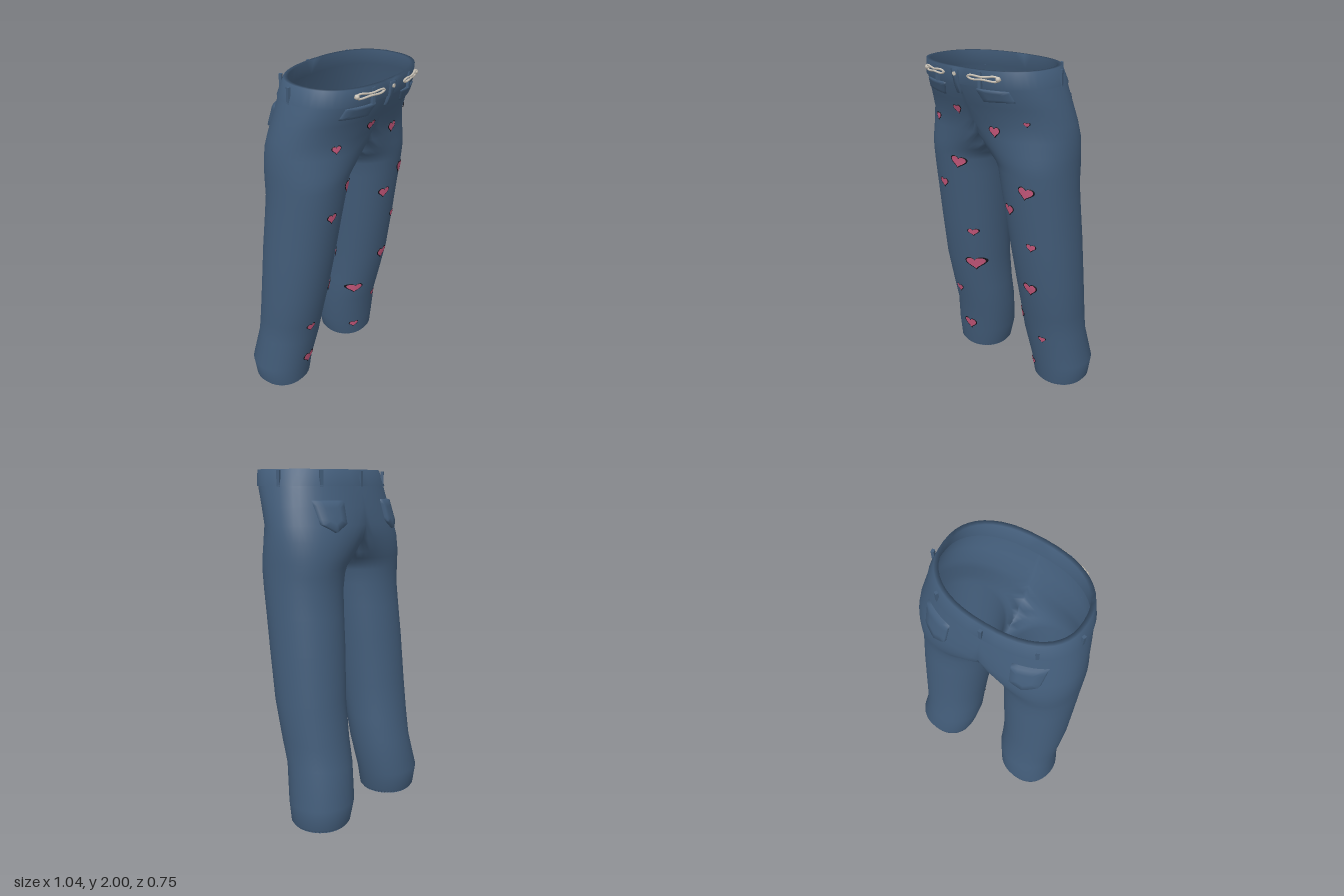
import * as THREE from 'three';
import { mergeVertices } from 'three/addons/utils/BufferGeometryUtils.js';

const mat = (name, color) => new THREE.MeshStandardMaterial({ name, color, side: THREE.DoubleSide });

// One half of the trousers, top to hem: y, inner x, outer x, front z, back z.
// Above the crotch the inner side is cut off at x = 0.
const ROWS = [
  [2.0, -0.4, 0.4, 0.36, -0.18],
  [1.9, -0.43, 0.43, 0.34, -0.21],
  [1.8, -0.42, 0.455, 0.3, -0.235],
  [1.7, -0.3, 0.475, 0.257, -0.255],
  [1.62, -0.17, 0.485, 0.243, -0.26],
  [1.54, -0.06, 0.488, 0.235, -0.253],
  [1.5, -0.015, 0.488, 0.23, -0.247],
  [1.47, 0.02, 0.488, 0.226, -0.242],
  [1.43, 0.037, 0.488, 0.22, -0.238],
  [1.34, 0.047, 0.488, 0.208, -0.232],
  [1.2, 0.06, 0.49, 0.187, -0.245],
  [1.0, 0.075, 0.495, 0.158, -0.265],
  [0.72, 0.1, 0.5, 0.113, -0.285],
  [0.5, 0.108, 0.495, 0.063, -0.31],
  [0.35, 0.11, 0.488, 0.03, -0.335],
  [0.14, 0.14, 0.52, -0.01, -0.373],
  [0.02, 0.165, 0.505, -0.022, -0.355],
  [0.0, 0.18, 0.49, -0.037, -0.34],
  [0.05, 0.175, 0.495, -0.032, -0.345],
];
const OUTER = ROWS.length - 1; // the last row is the folded inside of the hem
const grow = ([y, a, b, f, k], d) => [y, a - d, b + d, f + d, k - d];
const power = (y) => 0.95 - 0.1 * THREE.MathUtils.clamp((y - 1.7) / 0.2, 0, 1);
const signedPow = (v, p) => Math.sign(v) * Math.abs(v) ** p;

// Section row at any height
function rowAt(y) {
  let i = 1;
  while (i < OUTER - 1 && ROWS[i][0] > y) i++;
  const a = ROWS[i - 1], b = ROWS[i];
  const t = (a[0] - y) / (a[0] - b[0]);
  return a.map((v, k) => v + (b[k] - v) * t);
}

// Point on a section at angle t: 0 is the outer side, 90 degrees the front
function ringPoint([y, a, b, f, k], t) {
  const p = power(y);
  const x = (a + b) / 2 + ((b - a) / 2) * signedPow(Math.cos(t), p);
  const z = (f + k) / 2 + ((f - k) / 2) * signedPow(Math.sin(t), p);
  return [x < 1e-5 ? 0 : x, y, z];
}

// Depth of the cloth under (x, y); side 1 is the front, -1 the back
function clothZ(x, y, side) {
  const [, a, b, f, k] = rowAt(y);
  const p = power(y);
  const c = Math.min(1, Math.abs((Math.abs(x) - (a + b) / 2) / ((b - a) / 2))) ** (1 / p);
  return (f + k) / 2 + side * ((f - k) / 2) * Math.sqrt(1 - c * c) ** p;
}

function makeGeometry(positions, index) {
  let g = new THREE.BufferGeometry();
  g.setAttribute('position', new THREE.Float32BufferAttribute(positions, 3));
  g.setIndex(index);
  g = mergeVertices(g, 1e-5);
  g.computeVertexNormals();
  return g;
}

// Both mirrored halves, joined at x = 0
function loft(rows, n = 48) {
  const pos = [], index = [];
  for (const s of [1, -1]) {
    const base = pos.length / 3;
    for (const r of rows) for (let j = 0; j < n; j++) {
      const [x, y, z] = ringPoint(r, (j / n) * Math.PI * 2);
      pos.push(s * x, y, z);
    }
    const tri = (a, b, c) => {
      if ([a, b, c].every((v) => pos[v * 3] === 0)) return;
      if (s > 0) index.push(a, b, c); else index.push(a, c, b);
    };
    for (let i = 0; i < rows.length - 1; i++) for (let j = 0; j < n; j++) {
      const a = base + i * n + j, b = base + i * n + (j + 1) % n;
      tri(a, b, a + n);
      tri(b, b + n, a + n);
    }
  }
  return makeGeometry(pos, index);
}

// Patch laid on the cloth: rings = [scale of the outline, height above the cloth]
function patch(outline, cx, cy, rings, side = 1) {
  const pos = [], index = [], n = outline.length;
  for (const [s, h] of rings) for (const [u, v] of outline) {
    const x = cx + u * s, y = Math.min(cy + v * s, 1.995);
    pos.push(x, y, clothZ(x, y, side) + side * h);
  }
  for (let i = 0; i < rings.length - 1; i++) for (let j = 0; j < n; j++) {
    const a = i * n + j, b = i * n + (j + 1) % n;
    if (side > 0) index.push(a, a + n, b, b, a + n, b + n);
    else index.push(a, b, a + n, b, b + n, a + n);
  }
  return makeGeometry(pos, index);
}

// Closed polygon with extra points along every edge
const dense = (pts, k = 5) => pts.flatMap((p, i) => {
  const q = pts[(i + 1) % pts.length];
  return Array.from({ length: k }, (_, j) => [p[0] + (q[0] - p[0]) * j / k, p[1] + (q[1] - p[1]) * j / k]);
});

// Heart outline of width w, turned by r
function heart(w, r) {
  return Array.from({ length: 32 }, (_, i) => {
    const t = -(i / 32) * Math.PI * 2;
    const x = (Math.sin(t) ** 3) * w / 2;
    const y = (13 * Math.cos(t) - 5 * Math.cos(2 * t) - 2 * Math.cos(3 * t) - Math.cos(4 * t)) * w / 34;
    return [x * Math.cos(r) - y * Math.sin(r), x * Math.sin(r) + y * Math.cos(r)];
  });
}

export function createModel() {
  const denim = mat('denim blue', 0x435d7a);
  const pink = mat('heart pink', 0xc8587c);
  const black = mat('outline black', 0x14141a);
  const metal = mat('pale metal', 0xc9c2b6);
  const model = new THREE.Group();
  const add = (name, geometry, material) => {
    const m = new THREE.Mesh(geometry, material);
    m.name = name;
    model.add(m);
    return m;
  };

  // Hips and legs, open at the waist and hems
  add('trousers', loft(ROWS), denim);

  // Waistband with a turned-in top edge
  const low = rowAt(1.91), top = ROWS[0];
  add('waistband', loft([grow(low, 0), grow(low, 0.008), grow(top, 0.006), grow(top, -0.018), grow(low, -0.02)]), denim);

  // Belt loops around the waist
  const loopRow = grow(rowAt(1.95), 0.012);
  for (const [deg, s] of [[-8, 1], [-8, -1], [-52, 1], [-52, -1], [-90, 1], [72, 1], [72, -1]]) {
    const t = THREE.MathUtils.degToRad(deg);
    const [x, y, z] = ringPoint(loopRow, t);
    const loop = add('beltLoop', new THREE.BoxGeometry(0.018, 0.085, 0.016), denim);
    loop.position.set(x * s, y, z);
    loop.rotation.y = Math.atan2(s * Math.cos(t) * 0.27, Math.sin(t) * 0.4);
  }

  // Fly flap and button
  const fly = dense([[-0.022, 0.065], [-0.012, -0.07], [0.012, -0.07], [0.026, 0.065]]);
  add('fly', patch(fly, -0.01, 1.925, [[1, 0], [0.95, 0.016], [0, 0.016]]), denim);
  const button = add('button', new THREE.CylinderGeometry(0.011, 0.011, 0.008, 12), metal);
  button.position.set(-0.008, 1.965, clothZ(0, 1.965, 1) + 0.018);
  button.rotation.x = Math.PI / 2;

  for (const s of [1, -1]) {
    // Slanted front pocket flaps
    const flap = dense([[-0.1 * s, 0.035], [-0.07 * s, -0.035], [0.1 * s, -0.025], [0.08 * s, 0.035]]);
    if (s > 0) flap.reverse();
    flap.reverse();
    add('frontPocket', patch(flap, 0.215 * s, 1.865, [[1, 0], [0.94, 0.012], [0.5, 0.012], [0, 0.012]]), denim);

    // Shield-shaped back pockets
    const shield = dense([[-0.085, 0.08], [-0.075, -0.045], [0, -0.09], [0.075, -0.045], [0.085, 0.08]]);
    add('backPocket', patch(shield, 0.265 * s, 1.755, [[1, 0], [0.95, 0.02], [0.5, 0.022], [0, 0.022]], -1), denim);

    // Long pins through the waistband
    const on = (x, y) => new THREE.Vector3(x * s, y, clothZ(x, y, 1) + 0.02);
    const pin = new THREE.CatmullRomCurve3([
      on(0.085, 1.965), on(0.11, 1.973), on(0.18, 1.968), on(0.25, 1.975), on(0.272, 1.963),
      on(0.25, 1.95), on(0.18, 1.955), on(0.11, 1.953)], true);
    add('pin', new THREE.TubeGeometry(pin, 40, 0.006, 6, true), metal);
    const cap = add('pinCap', new THREE.SphereGeometry(0.014, 10, 8), metal);
    cap.position.copy(on(0.262, 1.963));
  }

  // Hearts down the front: x, y, width, turn
  const hearts = [
    [-0.08, 1.755, 0.055, 0.1], [-0.295, 1.67, 0.048, 0], [0.165, 1.665, 0.065, 0], [0.35, 1.725, 0.028, 0],
    [-0.17, 1.415, 0.08, -0.2], [0.342, 1.345, 0.08, -0.2], [-0.3, 1.26, 0.062, 0], [0.212, 1.215, 0.07, 0],
    [-0.155, 0.942, 0.052, 0], [0.348, 1.007, 0.052, -0.1], [-0.175, 0.712, 0.095, 0], [0.313, 0.718, 0.085, 0],
    [-0.335, 0.475, 0.058, 0], [0.168, 0.467, 0.075, 0], [0.343, 0.345, 0.045, 0], [-0.3, 0.193, 0.088, 0],
    [0.227, 0.112, 0.05, 0],
  ];
  for (const [x, y, w, r] of hearts) {
    const shape = heart(w, r);
    add('heart', patch(shape, x, y, [[1, 0.006], [0.66, 0.006], [0.33, 0.006], [0, 0.006]]), pink);
    add('heartOutline', patch(shape, x, y, [[1.16, 0.003], [1.13, 0.006], [1, 0.006]]), black);
  }
  return model;
}
